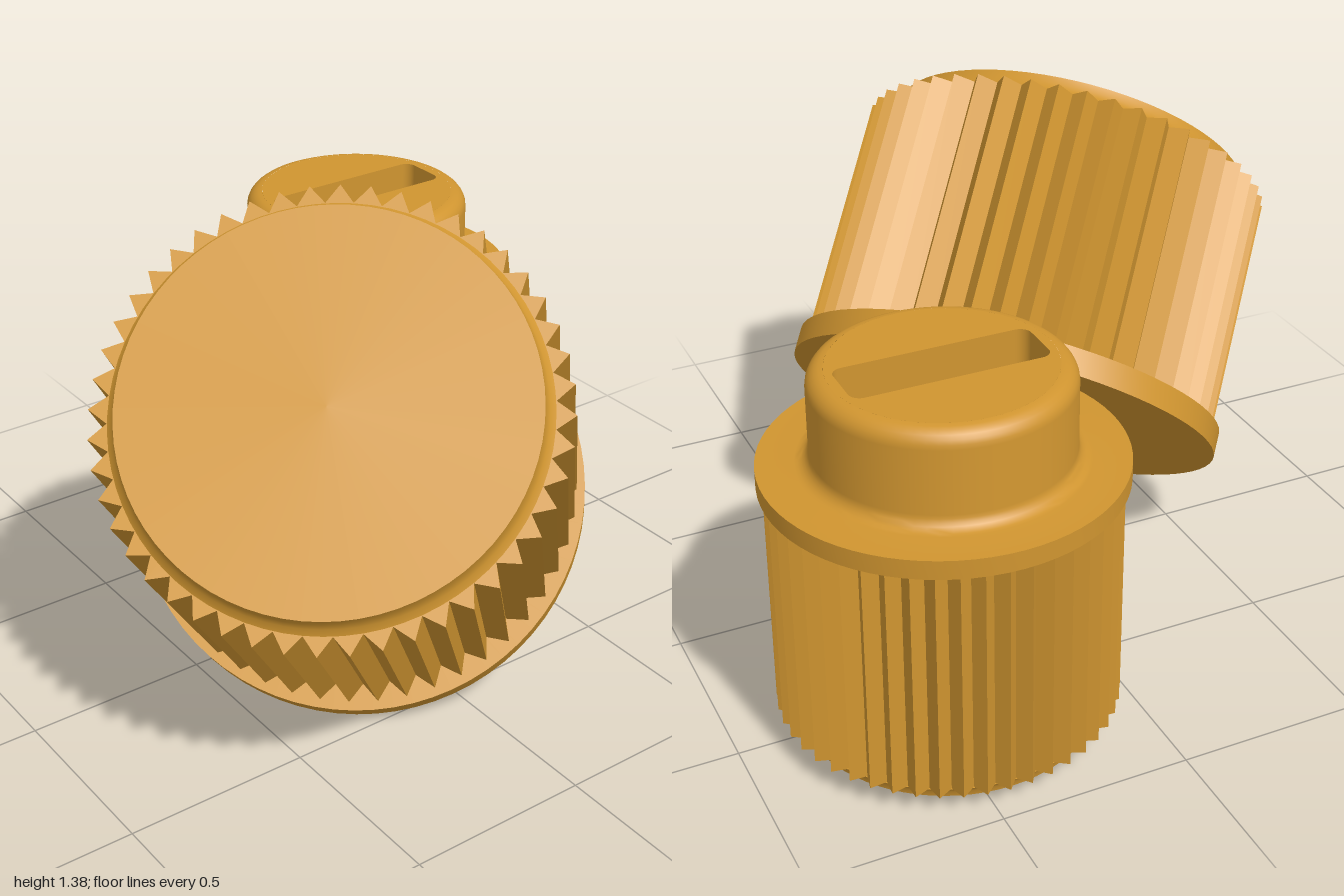
import * as THREE from 'three';
import { toCreasedNormals } from 'three/addons/utils/BufferGeometryUtils.js';

const brass = new THREE.MeshStandardMaterial({ color: 0xd09530 });
brass.name = 'brass';

function add(parent, name, geometry) {
  const mesh = new THREE.Mesh(geometry, brass);
  mesh.name = name;
  parent.add(mesh);
  return mesh;
}

// Turned part: profile of [radius, height], creased at sharp corners
function turned(profile) {
  const pts = profile.map(([r, y]) => new THREE.Vector2(r, y));
  return toCreasedNormals(new THREE.LatheGeometry(pts, 72), 0.6);
}

// Quarter-circle profile points
function arc(cx, cy, r, from, to, n = 6) {
  return Array.from({ length: n + 1 }, (_, i) => {
    const a = from + (to - from) * i / n;
    return [cx + r * Math.cos(a), cy + r * Math.sin(a)];
  });
}

// Upright extrusion between two heights
function slab(shape, y0, y1) {
  const g = new THREE.ExtrudeGeometry(shape, { depth: y1 - y0, bevelEnabled: false, curveSegments: 24 });
  return g.rotateX(-Math.PI / 2).translate(0, y0, 0);
}

// Grip ring with V-shaped ribs
function ribbedGrip(root, tip, y0, y1, teeth = 48) {
  const pts = Array.from({ length: teeth * 2 }, (_, i) => {
    const a = i * Math.PI / teeth, r = i % 2 ? tip : root;
    return new THREE.Vector2(r * Math.cos(a), r * Math.sin(a));
  });
  const shape = new THREE.Shape(pts);
  shape.holes.push(new THREE.Path().absarc(0, 0, root * 0.5, 0, Math.PI * 2, true));
  return slab(shape, y0, y1);
}

function roundedRect(w, h, r) {
  const p = new THREE.Path(), x = w / 2, y = h / 2;
  p.absarc(x - r, y - r, r, 0, Math.PI / 2);
  p.absarc(-x + r, y - r, r, Math.PI / 2, Math.PI);
  p.absarc(-x + r, -y + r, r, Math.PI, Math.PI * 1.5);
  p.absarc(x - r, -y + r, r, Math.PI * 1.5, Math.PI * 2);
  p.closePath();
  return p;
}

// Small knob standing on its cap, slotted boss upward
function smallKnob() {
  const g = new THREE.Group();
  g.name = 'smallKnob';
  add(g, 'smallCap', turned([[0, 0.03], [0.385, 0.03], [0.388, 0.045], [0.397, 0.06], [0.41, 0.071], [0.2, 0.072]]));
  add(g, 'smallGrip', ribbedGrip(0.405, 0.44, 0.07, 0.71));
  const H = Math.PI / 2;
  add(g, 'flangeAndBoss', turned([
    [0.1, 0.71], [0.455, 0.71], [0.455, 0.76],
    ...arc(0.36, 0.795, 0.035, -H, -Math.PI),
    ...arc(0.28, 0.965, 0.045, 0, H),
  ]));
  // Boss face with a slot, stepped deeper in the middle
  const face = new THREE.Shape().absarc(0, 0, 0.28, 0, Math.PI * 2);
  face.holes.push(roundedRect(0.51, 0.155, 0.03));
  add(g, 'slottedFace', slab(face, 0.8, 1.01));
  add(g, 'slotFloor', new THREE.BoxGeometry(0.5, 0.02, 0.2).translate(0, 0.8, 0));
  for (const s of [-1, 1]) {
    add(g, 'slotStep', new THREE.BoxGeometry(0.15, 0.1, 0.154).translate(s * 0.18, 0.85, 0));
  }
  g.position.set(0.445, 0, -0.545);
  return g;
}

// Large knob leaning over, cap upward and bored flange below
function largeKnob() {
  const g = new THREE.Group();
  g.name = 'largeKnob';
  add(g, 'boredFlange', turned([[0, 0.4], [0.12, 0.4], [0.12, 0], [0.61, 0], [0.61, 0.07], [0.3, 0.07]]));
  add(g, 'largeGrip', ribbedGrip(0.54, 0.588, 0.07, 0.76));
  add(g, 'largeCap', turned([[0.54, 0.759], [0.525, 0.772], [0.517, 0.79], [0.514, 0.81], [0, 0.81]]));
  g.quaternion.setFromUnitVectors(
    new THREE.Vector3(0, 1, 0),
    new THREE.Vector3(-0.5, Math.SQRT1_2, 0.5).normalize(),
  );
  g.position.set(-0.01, 0.434, 0.1);
  return g;
}

export function createModel() {
  const model = new THREE.Group();
  model.name = 'knobPair';
  model.add(smallKnob(), largeKnob());
  return model;
}
